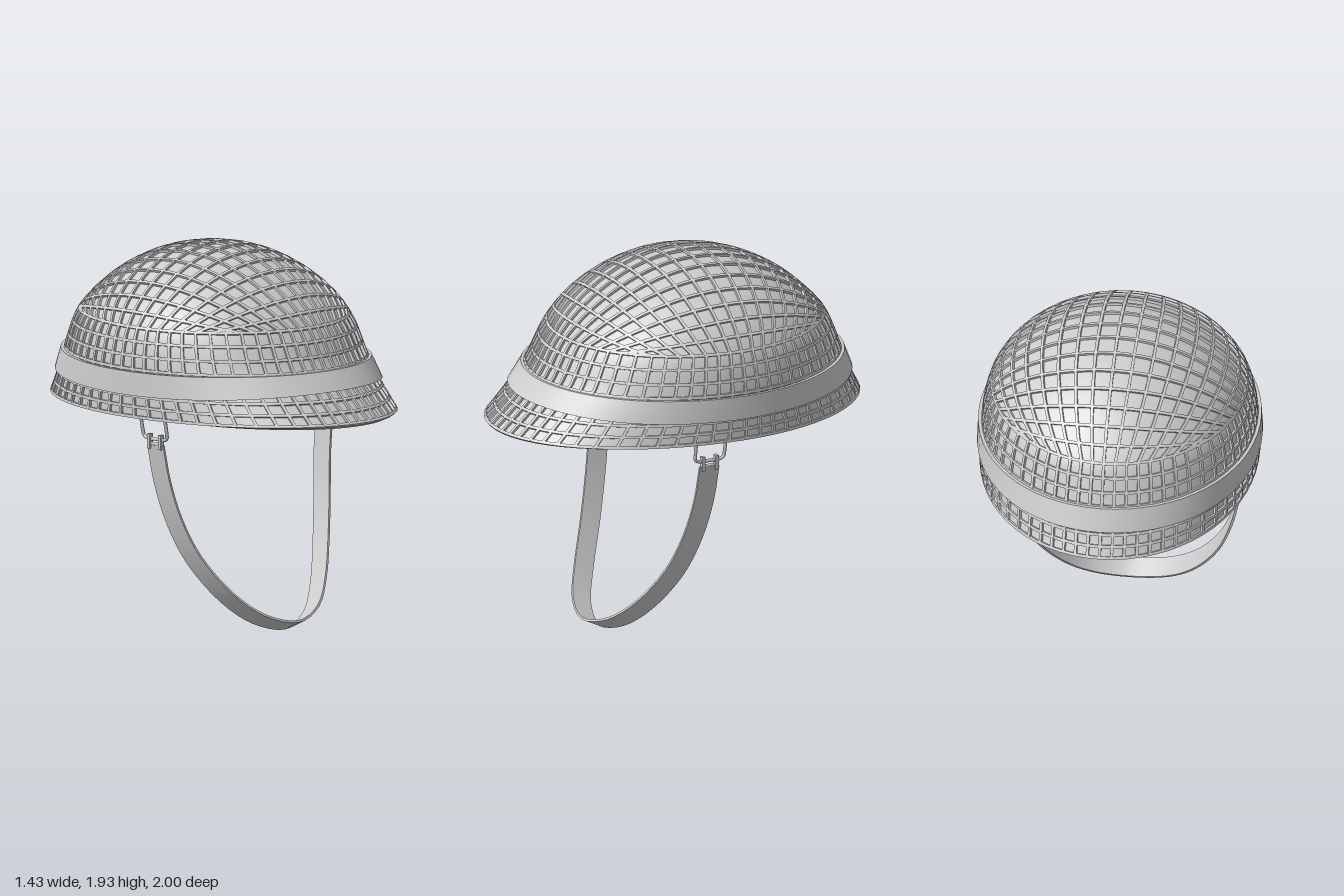
import * as THREE from 'three';
import { mergeGeometries, toCreasedNormals } from 'three/addons/utils/BufferGeometryUtils.js';

const V = (x, y, z) => new THREE.Vector3(x, y, z);
const material = new THREE.MeshStandardMaterial({ color: 0xcccccc });

// Helmet outline by level: [height, half width, front z, back z]
const LEVELS = [
  [1.918, 0, -0.07, -0.07], [1.908, 0.13, 0.07, -0.21], [1.875, 0.26, 0.2, -0.355],
  [1.82, 0.38, 0.325, -0.485], [1.75, 0.485, 0.44, -0.6], [1.665, 0.575, 0.545, -0.7],
  [1.575, 0.635, 0.625, -0.785], [1.5, 0.662, 0.675, -0.825], [1.4, 0.68, 0.73, -0.865],
  [1.3, 0.685, 0.81, -0.905], [1.22, 0.688, 0.89, -0.94], [1.135, 0.69, 0.985, -0.985],
];
const EDGE = 6, RIM = LEVELS.length - 1, MID_Z = -0.07;
const SHELL = 0.025, NET_R = 0.0075;

// Smooth interpolation of one column of the level list
function level(t, k) {
  const i = Math.min(Math.floor(t), RIM - 1), f = t - i;
  const at = (n) => n < 0
    ? (k === 0 ? LEVELS[1][0] : 2 * LEVELS[0][k] - LEVELS[1][k])
    : n > RIM ? 2 * LEVELS[RIM][k] - LEVELS[RIM - 1][k] : LEVELS[n][k];
  const [a, b, c, d] = [at(i - 1), at(i), at(i + 1), at(i + 2)];
  return b + 0.5 * f * (c - a + f * (2 * a - 5 * b + 4 * c - d + f * (3 * (b - c) + d - a)));
}

function levelAtY(y) {
  for (let i = 0; i < RIM; i++) {
    const a = LEVELS[i][0], b = LEVELS[i + 1][0];
    if (y >= b) return i + (a - y) / (a - b);
  }
  return RIM;
}

function base(t, angle) {
  const c = Math.cos(angle);
  const reach = Math.abs(level(t, c > 0 ? 2 : 3) - MID_Z);
  return V(level(t, 1) * Math.sin(angle), level(t, 0), MID_Z + reach * c);
}

function normalAt(t, angle) {
  if (t < 0.02) return V(0, 1, 0);
  const down = base(Math.min(t + 0.01, RIM), angle).sub(base(t - 0.01, angle));
  const around = base(t, angle + 0.01).sub(base(t, angle - 0.01));
  return down.cross(around).normalize();
}

// Point on the shell, pushed out (or in) by d
function surface(t, angle, d = 0) {
  const p = base(t, angle).addScaledVector(normalAt(t, angle), d);
  if (d < 0) p.y = Math.max(p.y, 1.128);
  return p;
}

// Skin over closed rings of points
function loft(rings, crease = 0.6) {
  const n = rings[0].length, index = [];
  for (let i = 0; i < rings.length - 1; i++) {
    for (let j = 0; j < n; j++) {
      const a = i * n + j, b = i * n + (j + 1) % n;
      index.push(a, a + n, b + n, a, b + n, b);
    }
  }
  const geo = new THREE.BufferGeometry().setFromPoints(rings.flat());
  geo.setIndex(index);
  return toCreasedNormals(geo, crease);
}

// Rectangular strip along a path of { p, n }, w and h being half sizes
function strip(path, w, h, capped = false) {
  const rings = path.map(({ p, n }, i) => {
    const next = path[Math.min(i + 1, path.length - 1)].p;
    const tangent = next.clone().sub(path[Math.max(i - 1, 0)].p).normalize();
    const side = n.clone().cross(tangent).normalize();
    return [[-1, 1], [1, 1], [1, -1], [-1, -1]].map(([s, u]) =>
      p.clone().addScaledVector(side, s * w).addScaledVector(n, u * h));
  });
  if (capped) {
    const flat = (q) => [0, 1, 2, 3].map(() => q.p.clone());
    rings.unshift(flat(path[0]));
    rings.push(flat(path[path.length - 1]));
  }
  return loft(rings);
}

function add(parent, name, geometry) {
  const mesh = new THREE.Mesh(geometry, material);
  mesh.name = name;
  parent.add(mesh);
  return mesh;
}

const turn = (count, fn) => Array.from({ length: count }, (_, i) => fn(i / count * Math.PI * 2));

function shellGeometry() {
  const rings = [], steps = 44;
  for (let i = 0; i <= steps; i++) {
    const t = Math.max(0.001, RIM * i / steps);
    rings.push(turn(64, (a) => surface(t, a)));
  }
  for (let i = steps; i >= 0; i--) {
    const t = Math.max(0.001, RIM * i / steps);
    rings.push(turn(64, (a) => surface(t, a, -SHELL)));
  }
  return loft(rings);
}

function netGeometry() {
  const cells = 16, wires = [];
  const outer = (t, a) => ({ p: surface(t, a, 0.005), n: normalAt(t, a) });
  const inner = (t, a) => ({ p: surface(t, a, -SHELL - 0.005), n: normalAt(t, a).negate() });
  // Cord from the crown's edge down the wall and under the rim
  const drop = (a) => {
    const path = [];
    for (let t = EDGE + 0.5; t <= RIM; t += 0.5) path.push(outer(t, a));
    for (let t = RIM; t >= 9; t -= 0.5) path.push(inner(t, a));
    return path;
  };
  // Square grid rounded onto the crown
  const crown = (u, v) => {
    const x = u * Math.sqrt(1 - v * v / 2), z = v * Math.sqrt(1 - u * u / 2);
    return { t: EDGE * Math.hypot(x, z), a: Math.atan2(x, z) };
  };
  for (const swap of [false, true]) {
    for (let i = 1; i < cells; i++) {
      const k = -1 + 2 * i / cells, line = [];
      for (let j = 0; j <= 32; j++) {
        const m = -1 + j / 16;
        line.push(swap ? crown(m, k) : crown(k, m));
      }
      const path = [...drop(line[0].a).reverse(), ...line.map((q) => outer(q.t, q.a)), ...drop(line[32].a)];
      wires.push(strip(path, NET_R, NET_R));
    }
  }
  // Cords below the four corners of the grid
  for (let i = 0; i < 4; i++) {
    const a = Math.PI * (0.25 + i / 2);
    wires.push(strip([outer(EDGE, a), ...drop(a)], NET_R, NET_R));
  }
  // Level cords on the outer wall and inside the rim
  const ring = (make, y) => {
    const path = turn(64, (a) => make(levelAtY(y), a));
    wires.push(strip([...path, path[0], path[1]], NET_R, NET_R));
  };
  for (const y of [1.575, 1.51, 1.44, 1.375, 1.305, 1.24, 1.185, 1.135]) ring(outer, y);
  for (const y of [1.135, 1.19, 1.25, 1.3]) ring(inner, y);
  return mergeGeometries(wires);
}

function bandGeometry() {
  const section = (a) => {
    const c = Math.cos(a), c2 = c * c;
    const low = 1.245 + (c > 0 ? 0.042 : 0.02) * c2, high = 1.365 + 0.014 * c2;
    const at = (y, d) => {
      const t = levelAtY(y), out = normalAt(t, a).setY(0).normalize();
      return base(t, a).setY(y).addScaledVector(out, d);
    };
    return [at(low, 0.029), at(high, 0.029), at(high, 0.012), at(low, 0.012)];
  };
  const rings = turn(64, section);
  return loft([...rings, rings[0]]);
}

function strapGeometry() {
  const half = [[0.62, 0.99, 0.1], [0.588, 0.8, 0.115], [0.543, 0.6, 0.155], [0.468, 0.4, 0.22],
    [0.335, 0.2, 0.325], [0.19, 0.082, 0.41]];
  const points = [...half.map(([x, y, z]) => V(-x, y, z)), V(0, 0.033, 0.455),
    ...half.reverse().map(([x, y, z]) => V(x, y, z))];
  const curve = new THREE.CatmullRomCurve3(points);
  const path = [];
  for (let i = 0; i <= 48; i++) {
    const p = curve.getPoint(i / 48);
    const tilt = 0.47 * (1 - p.y);
    const across = V(0, Math.sin(tilt), Math.cos(tilt));
    path.push({ p, n: curve.getTangent(i / 48).cross(across).normalize() });
  }
  return strip(path, 0.055, 0.006, true);
}

// Wire loop hanging from the rim, with the small clasp that holds the strap
function buckle(side) {
  const group = new THREE.Group();
  group.name = side > 0 ? 'leftBuckle' : 'rightBuckle';
  const zs = [0.018, 0.018, 0.022, 0.045, 0.1];
  const ys = [1.2, 1.06, 1.032, 1.02, 1.02];
  const at = (y, z) => V(side * (0.62 + (y - 1.02) * 0.2), y, z);
  const points = zs.map((z, i) => at(ys[i], z));
  for (let i = 3; i >= 0; i--) points.push(at(ys[i], 0.2 - zs[i]));
  add(group, 'wireLoop', new THREE.TubeGeometry(new THREE.CatmullRomCurve3(points), 40, 0.009, 8));
  for (const z of [0.062, 0.138]) {
    add(group, 'claspArm', new THREE.BoxGeometry(0.026, 0.075, 0.018)).position.set(side * 0.622, 1.008, z);
  }
  const bar = add(group, 'claspBar', new THREE.CylinderGeometry(0.008, 0.008, 0.08, 8));
  bar.rotation.x = Math.PI / 2;
  bar.position.set(side * 0.62, 0.995, 0.1);
  return group;
}

export function createModel() {
  const model = new THREE.Group();
  model.name = 'helmet';
  add(model, 'shell', shellGeometry());
  add(model, 'net', netGeometry());
  add(model, 'band', bandGeometry());
  add(model, 'chinStrap', strapGeometry());
  model.add(buckle(1), buckle(-1));
  return model;
}
